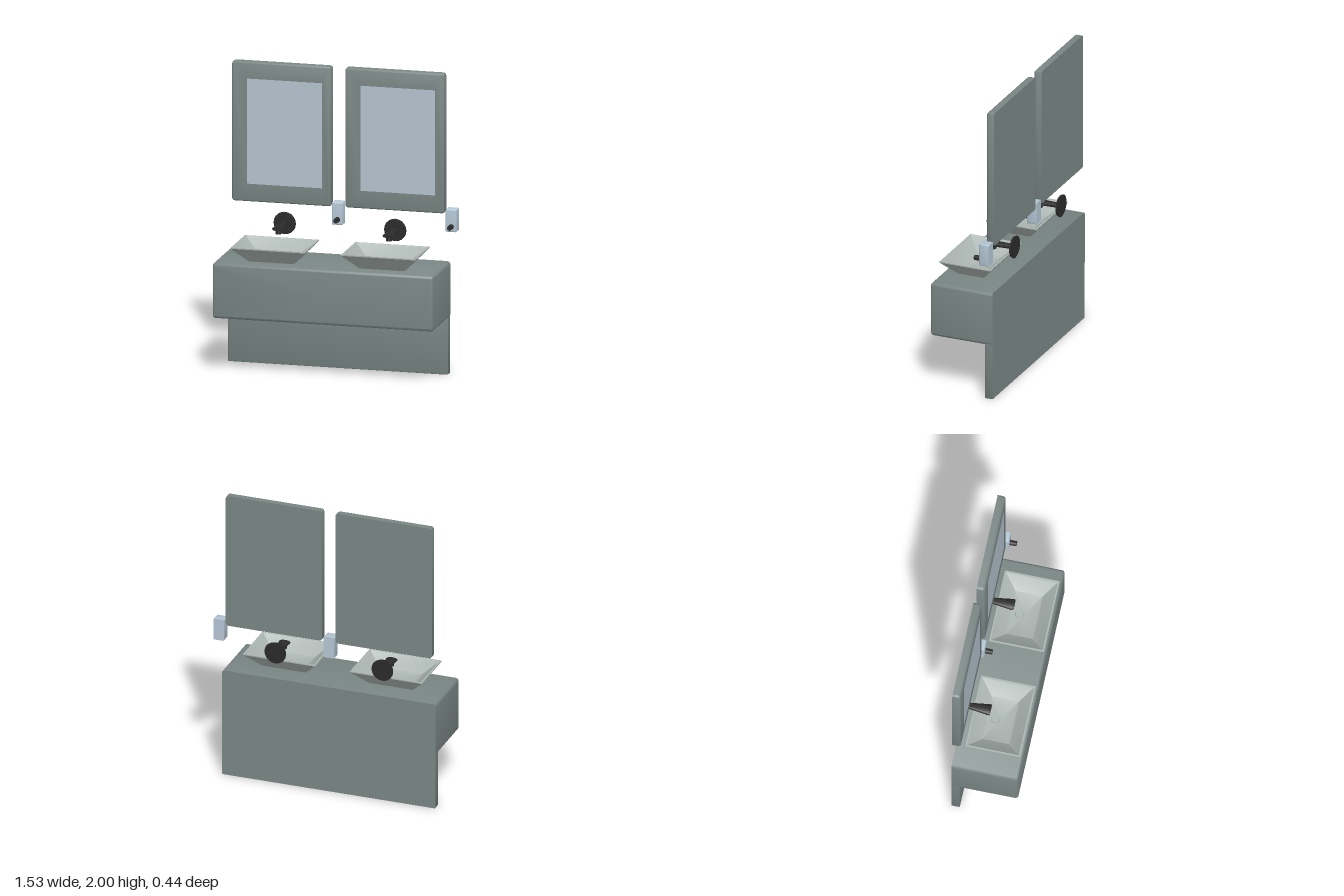
import * as THREE from 'three';
import { toCreasedNormals } from 'three/addons/utils/BufferGeometryUtils.js';

const mat = (name, color) => {
  const m = new THREE.MeshStandardMaterial({ color });
  m.name = name;
  return m;
};

// rounded rectangle ring, counter-clockwise seen from +z
function rectRing(cx, cy, hw, hh, r, z) {
  const pts = [], seg = 4;
  [[1, 1], [-1, 1], [-1, -1], [1, -1]].forEach(([sx, sy], q) => {
    for (let i = 0; i <= seg; i++) {
      const a = (q + i / seg) * Math.PI / 2;
      pts.push([cx + sx * (hw - r) + r * Math.cos(a), cy + sy * (hh - r) + r * Math.sin(a), z]);
    }
  });
  return pts;
}

function ellipseRing(cx, cy, rx, ry, z, n = 16) {
  return Array.from({ length: n }, (_, i) => {
    const a = i / n * Math.PI * 2;
    return [cx + rx * Math.cos(a), cy + ry * Math.sin(a), z];
  });
}

// skin a list of rings, with optional caps at both ends
function loft(rings, crease = 0.8, capEnd = true) {
  const n = rings[0].length, pos = rings.flat(2), idx = [];
  for (let k = 0; k < rings.length - 1; k++) {
    for (let i = 0; i < n; i++) {
      const j = (i + 1) % n, a = k * n, b = a + n;
      idx.push(a + i, a + j, b + j, a + i, b + j, b + i);
    }
  }
  const cap = (k, flip) => {
    const c = pos.length / 3;
    for (let d = 0; d < 3; d++) pos.push(rings[k].reduce((s, p) => s + p[d], 0) / n);
    for (let i = 0; i < n; i++) {
      const a = k * n + i, b = k * n + (i + 1) % n;
      idx.push(c, flip ? b : a, flip ? a : b);
    }
  };
  cap(0, true);
  if (capEnd) cap(rings.length - 1, false);
  const g = new THREE.BufferGeometry();
  g.setAttribute('position', new THREE.Float32BufferAttribute(pos, 3));
  g.setIndex(idx);
  return toCreasedNormals(g, crease);
}

// rings of a slab with a flat back and a rounded front edge
function slabRings(x0, x1, y0, y1, z0, z1, r) {
  const cx = (x0 + x1) / 2, cy = (y0 + y1) / 2, hw = (x1 - x0) / 2, hh = (y1 - y0) / 2;
  const rings = [rectRing(cx, cy, hw, hh, r, z0)];
  for (let i = 0; i <= 4; i++) {
    const a = i / 4 * Math.PI / 2, inset = r * (1 - Math.cos(a));
    rings.push(rectRing(cx, cy, hw - inset, hh - inset, Math.max(r - inset, 0.001), z1 - r + r * Math.sin(a)));
  }
  return rings;
}

export function createModel() {
  const grey = mat('cabinet grey', 0x7a8785);
  const ceramic = mat('basin ceramic', 0xacb6b2);
  const glass = mat('mirror glass', 0xb4c3cf);
  const black = mat('black metal', 0x2b2b2b);
  const plastic = mat('dispenser pale blue', 0xb5c8d6);

  const model = new THREE.Group();
  model.name = 'doubleVanity';
  const add = (parent, name, geometry, material, x = 0, y = 0, z = 0) => {
    const m = new THREE.Mesh(geometry, material);
    m.name = name;
    m.position.set(x, y, z);
    parent.add(m);
    return m;
  };
  const group = (name, x = 0, y = 0, z = 0) => {
    const g = new THREE.Group();
    g.name = name;
    g.position.set(x, y, z);
    model.add(g);
    return g;
  };

  // wall-hung cabinet and the panel behind it
  add(model, 'cabinet', loft(slabRings(-0.77, 0.707, 0.375, 0.745, -0.22, 0.22, 0.02)), grey);
  add(model, 'backPanel', loft(slabRings(-0.768, 0.705, 0, 0.7, -0.2195, -0.165, 0.006)), grey);

  // mirrors
  for (const x of [-0.411, 0.347]) {
    const g = group('mirror', x);
    const rings = slabRings(-0.333, 0.333, 1.07, 2, -0.22, -0.165, 0.018);
    rings.push(rectRing(0.022, 1.54, 0.25, 0.35, 0.001, -0.165));
    add(g, 'mirrorFrame', loft(rings, 0.8, false), grey);
    add(g, 'mirrorGlass', new THREE.PlaneGeometry(0.5, 0.7), glass, 0.022, 1.54, -0.165);
  }

  for (const x of [-0.402, 0.338]) {
    // square vessel basin: outside, rim, inside, floor
    const basin = group('basin', x, 0, 0.028);
    const bowl = loft([
      rectRing(0, 0, 0.15, 0.09, 0.004, 0.742),
      rectRing(0, 0, 0.249, 0.181, 0.004, 0.843),
      rectRing(0, 0, 0.249, 0.181, 0.004, 0.85),
      rectRing(0, 0, 0.238, 0.17, 0.004, 0.85),
      rectRing(0, 0, 0.232, 0.164, 0.004, 0.842),
      rectRing(0, 0, 0.15, 0.09, 0.004, 0.776),
    ], 0.65);
    bowl.rotateX(-Math.PI / 2);
    add(basin, 'basinBowl', bowl, ceramic);
    add(basin, 'drain', new THREE.CylinderGeometry(0.027, 0.029, 0.012, 24), ceramic, 0, 0.781, -0.033);

    // wall faucet
    const faucet = group('faucet', x, 0.93, 0);
    const disc = new THREE.CylinderGeometry(0.07, 0.075, 0.014, 20).rotateX(Math.PI / 2);
    add(faucet, 'wallPlate', disc, black, 0, 0, -0.213);
    add(faucet, 'spout', loft([
      ellipseRing(0, 0, 0.021, 0.019, -0.21),
      ellipseRing(0, 0, 0.022, 0.017, -0.17),
      ellipseRing(0, 0, 0.039, 0.015, -0.05),
      ellipseRing(0, 0, 0.037, 0.012, -0.037),
    ]), black);
    add(faucet, 'nozzle', new THREE.CylinderGeometry(0.018, 0.021, 0.028, 16), black, 0, -0.021, -0.063);
  }

  // soap dispensers
  for (const x of [-0.033, 0.729]) {
    const g = group('soapDispenser', x);
    add(g, 'dispenserBody', loft(slabRings(-0.036, 0.036, 0.956, 1.105, -0.22, -0.151, 0.006)), plastic);
    const knob = new THREE.CylinderGeometry(0.016, 0.018, 0.05, 14).rotateX(Math.PI / 2);
    add(g, 'dispenserSpout', knob, black, 0.002, 0.992, -0.13);
  }
  return model;
}
